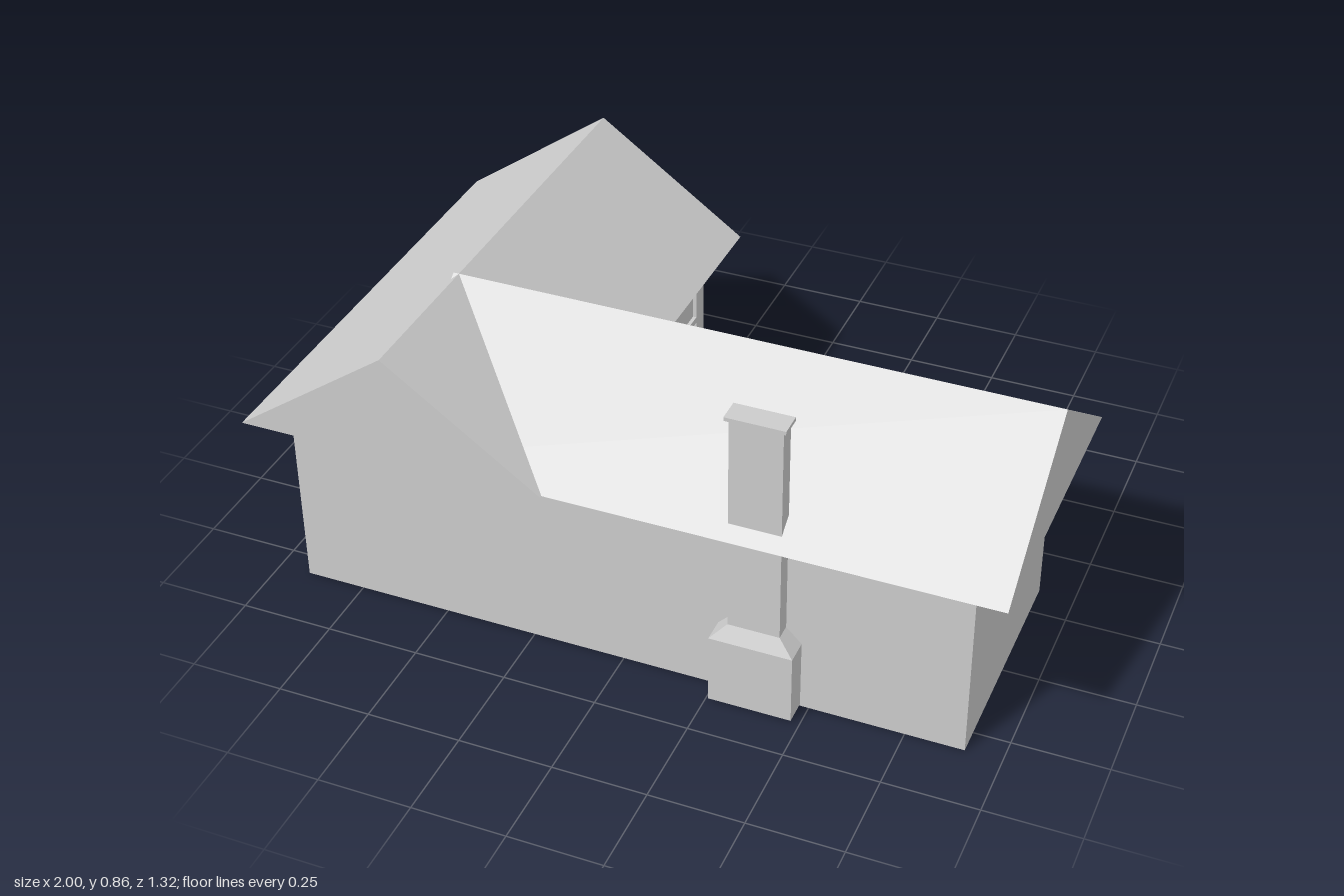
import * as THREE from 'three';

const material = new THREE.MeshStandardMaterial({ color: 0xcccccc, flatShading: true });
const EAVE = 0.525, RIDGE = 0.82;

function mesh(name, geometry) {
  const m = new THREE.Mesh(geometry, material);
  m.name = name;
  return m;
}

// Box given by its minimum and maximum corners
function box(name, x0, x1, y0, y1, z0, z1) {
  const g = new THREE.BoxGeometry(x1 - x0, y1 - y0, z1 - z0);
  g.translate((x0 + x1) / 2, (y0 + y1) / 2, (z0 + z1) / 2);
  return mesh(name, g);
}

function extrude(points, depth, holes = []) {
  const shape = new THREE.Shape(points.map(([x, y]) => new THREE.Vector2(x, y)));
  for (const h of holes) shape.holes.push(new THREE.Path(h.map(([x, y]) => new THREE.Vector2(x, y))));
  return new THREE.ExtrudeGeometry(shape, { depth, bevelEnabled: false });
}

const rect = (x0, x1, y0, y1) => [[x0, y0], [x1, y0], [x1, y1], [x0, y1]];

// Triangular roof prism running along z
const gable = (left, ridge, right, length) =>
  extrude([[left, EAVE], [right, EAVE], [ridge, RIDGE]], length);

// Four-pane window frame facing +z, turned and placed on its wall
function windowFrame(name, x, z, angle) {
  const holes = [];
  for (const [a, b] of [[-0.187, -0.01], [0.01, 0.187]]) {
    for (const [c, d] of [[-0.122, -0.009], [0.009, 0.115]]) holes.push(rect(a, b, c, d).reverse());
  }
  const m = mesh(name, extrude(rect(-0.198, 0.198, -0.132, 0.132), 0.01, holes));
  m.position.set(x, 0.306, z);
  m.rotation.y = angle;
  return m;
}

export function createModel() {
  const house = new THREE.Group();
  house.name = 'house';

  // L-shaped walls
  const plan = [[-0.912, -0.602], [-0.26, -0.602], [-0.26, -0.092], [0.904, -0.092], [0.904, 0.568], [-0.912, 0.568]];
  const walls = extrude(plan, EAVE);
  walls.rotateX(Math.PI / 2).translate(0, EAVE, 0);
  house.add(mesh('walls', walls));

  // Two crossing gable roofs
  const wing = gable(-1, -0.585, -0.17, 1.316);
  wing.translate(0, 0, -0.658);
  const main = gable(-0.651, -0.235, 0.183, 1.6);
  main.rotateY(Math.PI / 2).translate(-0.6, 0, 0);
  house.add(mesh('wingRoof', wing), mesh('mainRoof', main));

  // Windows
  house.add(
    windowFrame('wingInnerWindow', -0.26, -0.338, Math.PI / 2),
    windowFrame('wingOuterWindow', -0.912, -0.01, -Math.PI / 2),
    windowFrame('backWindow', 0.26, -0.092, Math.PI)
  );

  // Door frame on the end of the wing
  const door = new THREE.Group();
  door.name = 'doorFrame';
  door.add(
    box('doorPostRight', -0.68, -0.668, 0, 0.38, -0.609, -0.602),
    box('doorPostLeft', -0.502, -0.49, 0, 0.38, -0.609, -0.602),
    box('doorLintel', -0.668, -0.502, 0.368, 0.38, -0.609, -0.602)
  );
  house.add(door);

  // Chimney: base, sloping shoulder, stack and cap
  const chimney = new THREE.Group();
  chimney.name = 'chimney';
  const shoulder = box('chimneyShoulder', 0.258, 0.477, 0.2, 0.242, 0.56, 0.634);
  const p = shoulder.geometry.attributes.position;
  for (let i = 0; i < p.count; i++) {
    if (p.getY(i) < 0.22) continue;
    p.setX(i, p.getX(i) < 0.367 ? 0.3 : 0.436);
    p.setZ(i, p.getZ(i) < 0.6 ? 0.57 : 0.613);
  }
  shoulder.geometry.computeVertexNormals();
  chimney.add(
    box('chimneyBase', 0.258, 0.477, 0.005, 0.2, 0.56, 0.634),
    shoulder,
    box('chimneyStack', 0.3, 0.436, 0.2, 0.853, 0.567, 0.613),
    box('chimneyCap', 0.291, 0.445, 0.853, 0.863, 0.56, 0.623)
  );
  house.add(chimney);

  return house;
}
